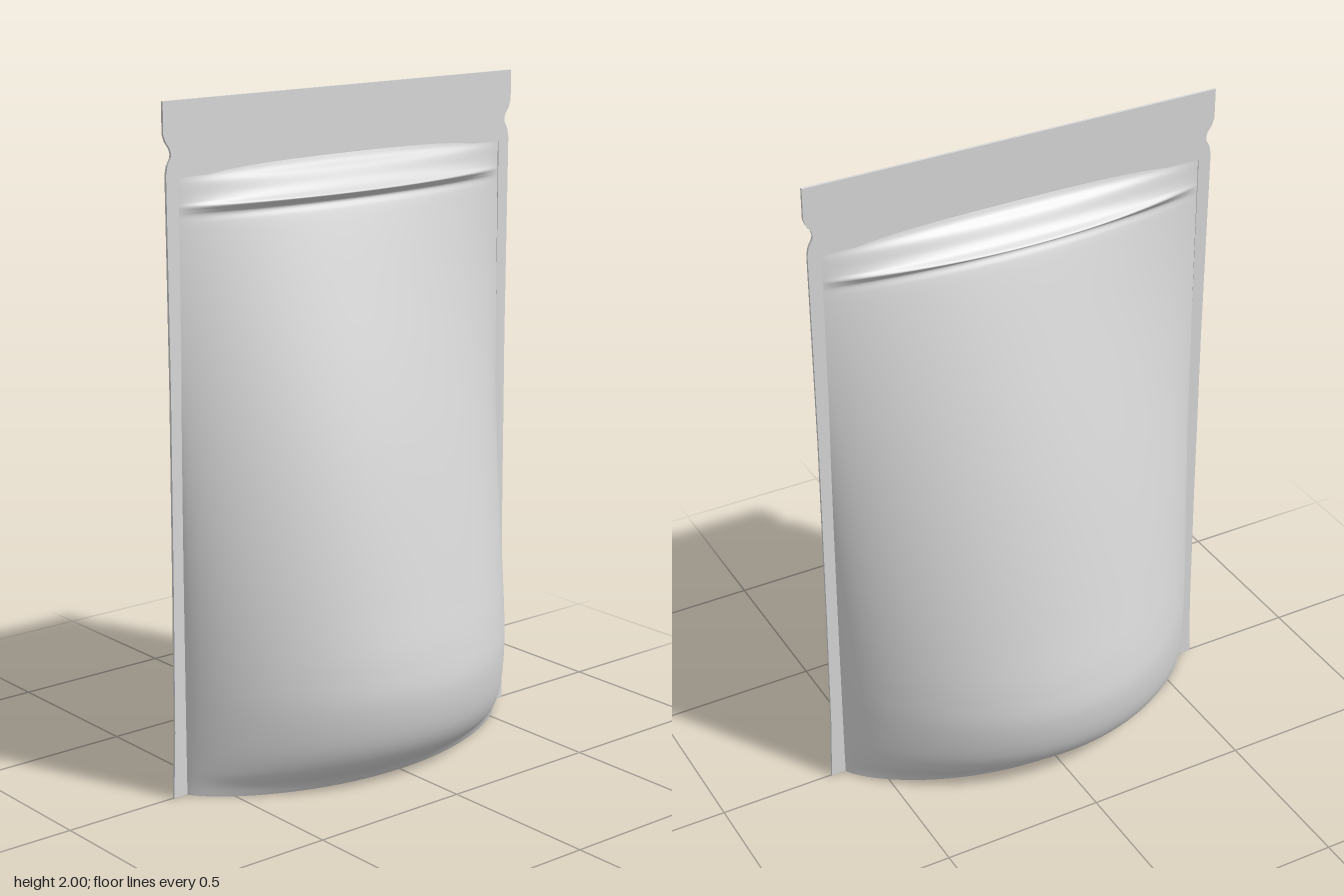
import * as THREE from 'three';

const HALF = 0.6; // half width of the filled part
const TOP = 1.81;

// Depth of the pouch along its centre line, as (height, depth)
const depthPoints = [
  [0, 0.25], [0.03, 0.275], [0.08, 0.335], [0.15, 0.377], [0.27, 0.4], [0.38, 0.39],
  [0.55, 0.355], [0.8, 0.3], [1.0, 0.252], [1.2, 0.198], [1.4, 0.14], [1.6, 0.08],
  [1.66, 0.06], [1.682, 0.05], [1.695, 0.068], [1.707, 0.088], [1.72, 0.066],
  [1.737, 0.05], [1.77, 0.032], [1.79, 0.012], [TOP, 0.003],
];
const depthSamples = new THREE.CatmullRomCurve3(
  depthPoints.map(([y, d]) => new THREE.Vector3(d, y, 0))
).getPoints(140);

// Lens-shaped cross-section: fuller at the bottom, flatter towards the zip
function lens(u, y) {
  const k = THREE.MathUtils.lerp(0.75, 1, THREE.MathUtils.smoothstep(y, 0.5, 1.6));
  return Math.pow(Math.max(0, 1 - u * u), k);
}

// Bends a grid by rule(u in -1..1, row 0 = top edge .. 1 = bottom edge)
function bentGrid(columns, rows, rule) {
  const geometry = new THREE.PlaneGeometry(1, 1, columns, rows);
  const p = geometry.attributes.position;
  for (let j = 0, i = 0; j <= rows; j++) {
    for (let c = 0; c <= columns; c++, i++) {
      const t = (c / columns) * 2 - 1;
      p.setXYZ(i, ...rule(Math.sin(t * Math.PI / 2), j / rows));
    }
  }
  geometry.computeVertexNormals();
  return geometry;
}

function panelGeometry() {
  const last = depthSamples.length - 1;
  return bentGrid(56, last, (u, v) => {
    const s = depthSamples[last - Math.round(v * last)];
    return [u * HALF, s.y, s.x * lens(u, s.y)];
  });
}

// Base folded upwards between the two bottom edges
function gussetGeometry() {
  return bentGrid(56, 24, (u, v) => {
    const w = 1 - 2 * v;
    const edge = lens(u, 0);
    return [u * HALF, 0.18 * edge * (1 - w * w), w * 0.25 * edge];
  });
}

// Flat welded border with tear notches, open where the pouch is filled
function sealGeometry() {
  const side = [
    [0.645, 0], [0.638, 0.2], [0.634, 0.6], [0.631, 1.2], [0.634, 1.8],
    [0.629, 1.825], [0.618, 1.845], [0.616, 1.855], [0.62, 1.87], [0.634, 1.89],
    [0.641, 1.91], [0.641, 2],
  ];
  const outline = [
    ...side,
    ...side.slice().reverse().map(([x, y]) => [-x, y]),
    [-0.594, 0], [-0.594, 1.79], [0.594, 1.79], [0.594, 0],
  ];
  const shape = new THREE.Shape(outline.map(([x, y]) => new THREE.Vector2(x, y)));
  const geometry = new THREE.ExtrudeGeometry(shape, { depth: 0.008, bevelEnabled: false });
  return geometry.translate(0, 0, -0.004);
}

export function createModel() {
  const film = new THREE.MeshStandardMaterial({ color: 0xd8d8d8 });
  film.name = 'pouch film grey';
  const group = new THREE.Group();
  group.name = 'standUpPouch';

  const add = (name, geometry) => {
    const mesh = new THREE.Mesh(geometry, film);
    mesh.name = name;
    group.add(mesh);
    return mesh;
  };

  // Front and back panels, each with the zip ridge
  const panel = panelGeometry();
  add('frontPanel', panel);
  add('backPanel', panel).rotation.y = Math.PI;

  add('bottomGusset', gussetGeometry());
  add('sealedBorder', sealGeometry());
  return group;
}
